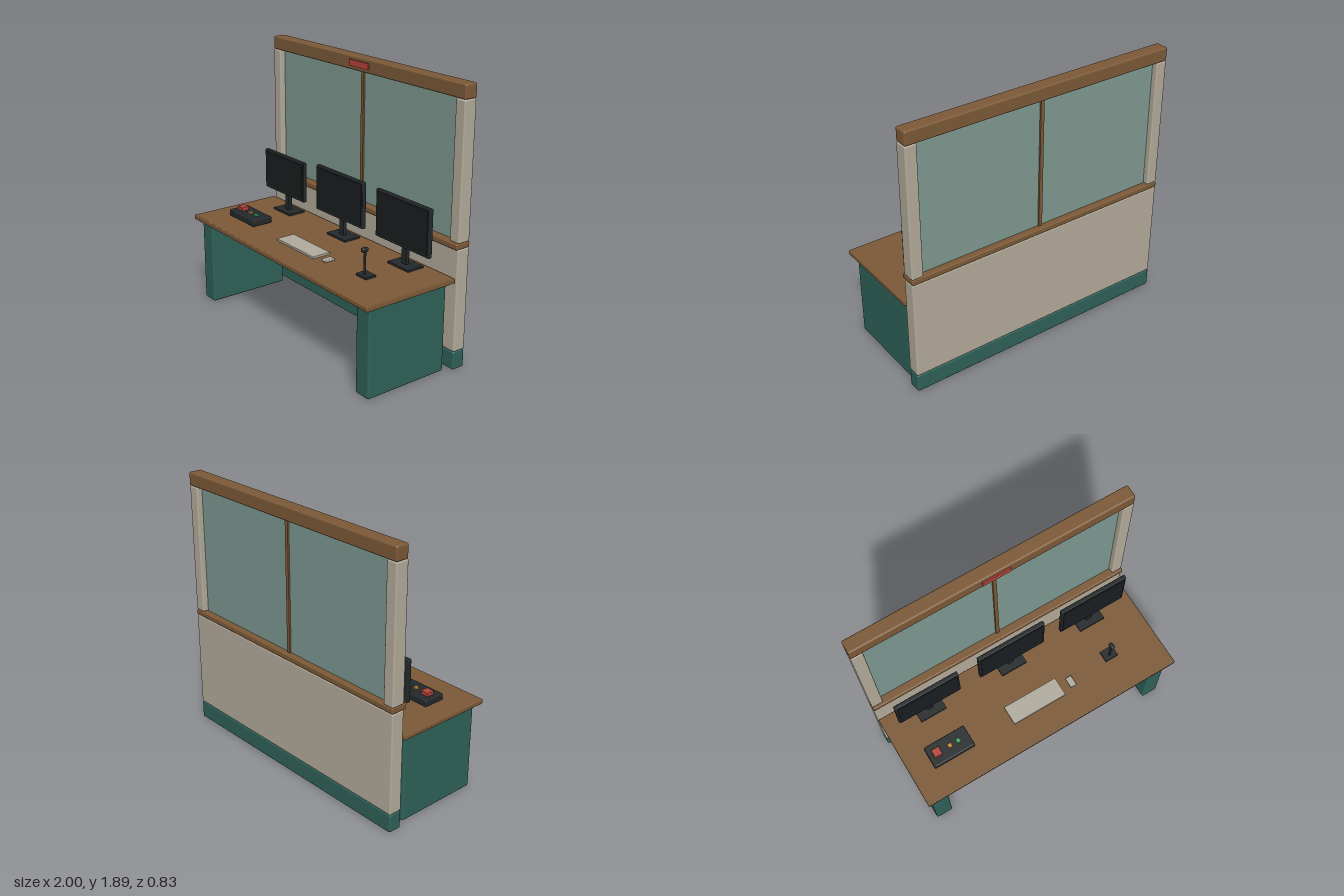
import * as THREE from 'three';
import { RoundedBoxGeometry } from 'three/addons/geometries/RoundedBoxGeometry.js';

const material = (color) => new THREE.MeshStandardMaterial({ color });

export function createModel() {
  const model = new THREE.Group();
  const wood = material(0x7d5a38), cream = material(0xb5ad9c), green = material(0x2f6259);
  const glass = material(0x7f9a92), dark = material(0x24292b), screenBlack = material(0x1a1e20);
  const red = material(0xb8433c), amber = material(0xc08a3a), lime = material(0x45a56a);
  const pale = material(0xb0ad9f);

  // Box given by its minimum and maximum on each axis; r rounds the edges
  function box(name, mat, [x0, x1], [y0, y1], [z0, z1], r = 0, parent = model) {
    const size = [x1 - x0, y1 - y0, z1 - z0];
    const geometry = r ? new RoundedBoxGeometry(...size, 2, r) : new THREE.BoxGeometry(...size);
    const mesh = new THREE.Mesh(geometry, mat);
    mesh.name = name;
    mesh.position.set((x0 + x1) / 2, (y0 + y1) / 2, (z0 + z1) / 2);
    parent.add(mesh);
    return mesh;
  }
  const group = (name, x = 0, y = 0, z = 0) => {
    const g = new THREE.Group();
    g.name = name;
    g.position.set(x, y, z);
    model.add(g);
    return g;
  };

  // Partition wall with window
  const wallZ = [-0.412, -0.316];
  box('wallPlinth', green, [-1, 1], [0, 0.13], wallZ, 0.012);
  box('wallPanel', cream, [-1, 1], [0.13, 0.84], wallZ, 0.01);
  box('windowSill', wood, [-1, 1], [0.84, 0.88], [-0.414, -0.3], 0.008);
  box('windowGlass', glass, [-0.92, 0.92], [0.875, 1.805], [-0.37, -0.358]);
  box('windowMullion', wood, [-0.013, 0.013], [0.875, 1.805], [-0.382, -0.346]);
  box('topBeam', wood, [-1, 1], [1.797, 1.893], [-0.414, -0.318], 0.012);
  box('signPlate', red, [-0.1, 0.1], [1.825, 1.868], [-0.33, -0.308]);

  // Desk
  box('desktop', wood, [-1, 1], [0.62, 0.653], [-0.3, 0.412], 0.006);
  for (const side of [-1, 1]) {
    const name = side > 0 ? 'left' : 'right';
    box(name + 'WindowPost', cream, side > 0 ? [0.918, 1] : [-1, -0.918], [0.88, 1.797], wallZ, 0.01);
    box(name + 'DeskPedestal', green, side > 0 ? [0.837, 0.963] : [-0.963, -0.837],
      [0, 0.62], [-0.262, 0.365], 0.014);
  }

  // Monitors: centre x, width, top height
  for (const [name, x, w, top] of [
    ['rightMonitor', -0.652, 0.48, 1.085],
    ['centreMonitor', 0, 0.515, 1.118],
    ['leftMonitor', 0.65, 0.515, 1.118],
  ]) {
    const g = group(name, x);
    const h = w / 2;
    box('monitorBase', dark, [-0.1, 0.1], [0.653, 0.667], [-0.26, -0.127], 0, g);
    box('monitorNeck', dark, [-0.022, 0.022], [0.66, 0.825], [-0.205, -0.178], 0, g);
    box('monitorCase', dark, [-h, h], [0.79, top], [-0.182, -0.152], 0.006, g);
    box('monitorScreen', screenBlack, [-h + 0.015, h - 0.015], [0.807, top - 0.015], [-0.16, -0.147], 0, g);
  }

  // Control console with buttons
  const consoleBox = group('controlConsole');
  box('consoleBody', dark, [-0.835, -0.52], [0.653, 0.7], [0.052, 0.212], 0.008, consoleBox);
  box('redButton', red, [-0.802, -0.742], [0.695, 0.725], [0.1, 0.16], 0.004, consoleBox);
  box('amberButton', amber, [-0.686, -0.656], [0.695, 0.71], [0.117, 0.147], 0, consoleBox);
  box('greenButton', lime, [-0.62, -0.59], [0.695, 0.71], [0.117, 0.147], 0, consoleBox);

  // Keyboard and mouse
  box('keyboard', pale, [-0.21, 0.205], [0.653, 0.667], [0.08, 0.22]);
  box('mouse', pale, [0.265, 0.312], [0.653, 0.67], [0.12, 0.197], 0.006);

  // Desk microphone
  const mic = group('microphone', 0.63);
  box('microphoneBase', dark, [-0.05, 0.05], [0.653, 0.667], [0.08, 0.162], 0, mic);
  const stem = new THREE.Mesh(new THREE.CylinderGeometry(0.008, 0.008, 0.165, 12), dark);
  stem.name = 'microphoneStem';
  stem.position.set(0, 0.743, 0.13);
  mic.add(stem);
  box('microphoneHead', dark, [-0.015, 0.015], [0.82, 0.85], [0.11, 0.157], 0.01, mic);

  return model;
}
